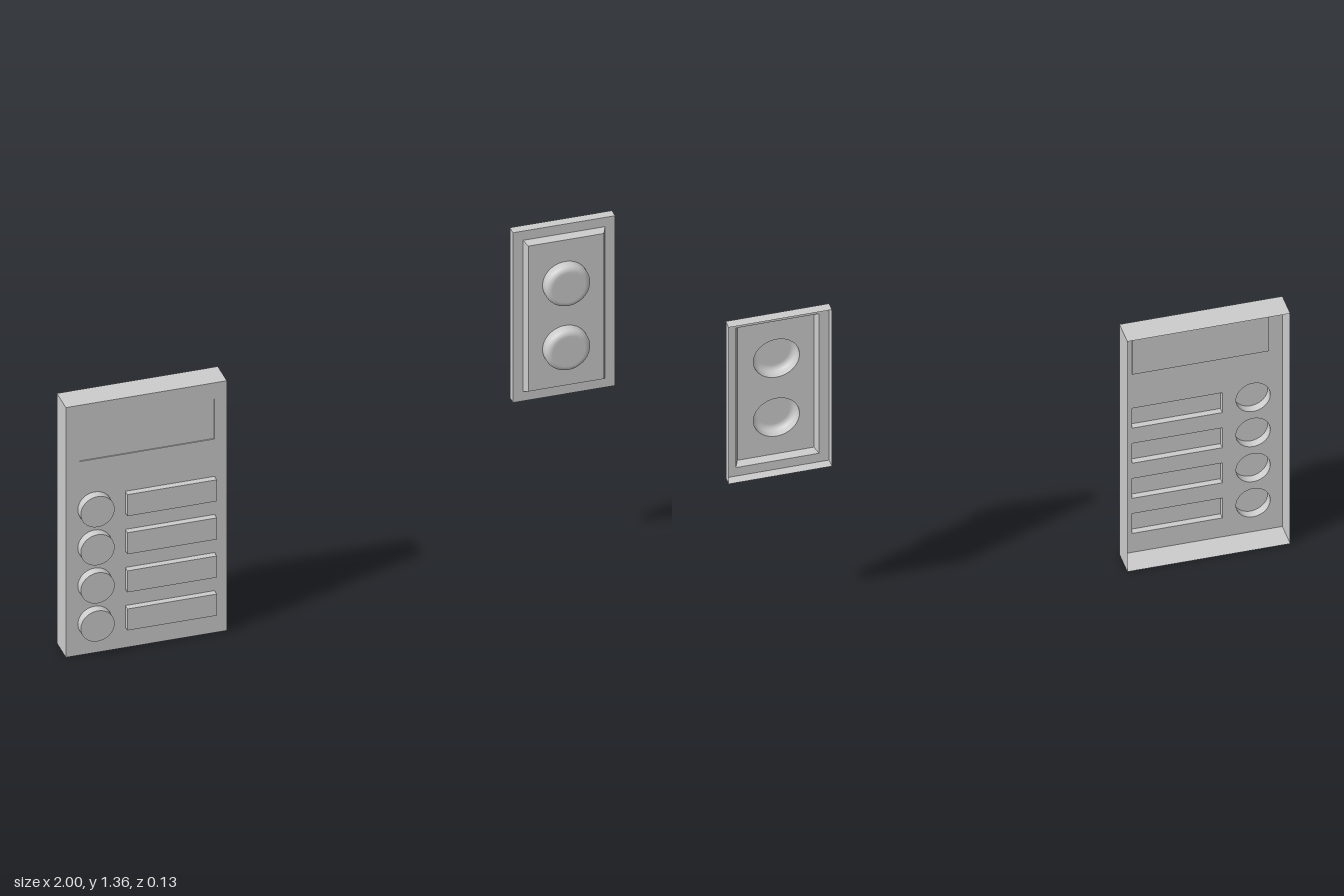
import * as THREE from 'three';
import { mergeGeometries } from 'three/addons/utils/BufferGeometryUtils.js';

const material = new THREE.MeshStandardMaterial({ color: 0xcccccc, side: THREE.DoubleSide });

function part(name, geometry, parent) {
  const mesh = new THREE.Mesh(geometry, material);
  mesh.name = name;
  parent.add(mesh);
  return mesh;
}

// Rectangles are { x, y, w, h } about their centre; corners run counter-clockwise.
const corners = ({ x, y, w, h }, inset = 0) =>
  [[-1, -1], [1, -1], [1, 1], [-1, 1]].map(([sx, sy]) =>
    new THREE.Vector2(x + sx * (w / 2 - inset), y + sy * (h / 2 - inset)));

const circlePath = (x, y, r) => new THREE.Path().absarc(x, y, r, 0, Math.PI * 2, true);

// Thin pressed tray, open at the back: four walls from z0 to z1 and a front with holes.
function tray(rect, z0, z1, holes = [], inset = 0) {
  const back = corners(rect), front = corners(rect, inset);
  const pos = [];
  for (let i = 0; i < 4; i++) {
    const j = (i + 1) % 4;
    const a = [back[i].x, back[i].y, z0], b = [back[j].x, back[j].y, z0];
    const c = [front[j].x, front[j].y, z1], d = [front[i].x, front[i].y, z1];
    pos.push(...a, ...b, ...c, ...a, ...c, ...d);
  }
  const walls = new THREE.BufferGeometry();
  walls.setAttribute('position', new THREE.Float32BufferAttribute(pos, 3));
  walls.computeVertexNormals();
  const shape = new THREE.Shape(front);
  shape.holes = holes;
  const face = new THREE.ShapeGeometry(shape, 24).toNonIndexed();
  face.translate(0, 0, z1);
  face.deleteAttribute('uv');
  return mergeGeometries([walls, face]);
}

// Hollow round button with a sharp rim
function flatButton(r, depth) {
  const side = new THREE.CylinderGeometry(r, r, depth, 48, 1, true).rotateX(Math.PI / 2).translate(0, 0, depth / 2);
  const cap = new THREE.CircleGeometry(r, 48).translate(0, 0, depth);
  return mergeGeometries([side, cap]);
}

// Hollow round button with a rounded rim
function softButton(r, depth, round) {
  const profile = [new THREE.Vector2(r, 0)];
  for (let i = 0; i <= 8; i++) {
    const a = (i / 8) * Math.PI / 2;
    profile.push(new THREE.Vector2(r - round + round * Math.cos(a), depth - round + round * Math.sin(a)));
  }
  profile.push(new THREE.Vector2((r - round) * 0.9, depth), new THREE.Vector2(0, depth));
  return new THREE.LatheGeometry(profile, 48).rotateX(Math.PI / 2);
}

function entryPanel() {
  const group = new THREE.Group();
  group.name = 'entryPanel';
  const front = 0.034;
  const body = { x: -0.71, y: 0.5, w: 0.58, h: 1 };
  const display = { x: -0.708, y: 0.855, w: 0.486, h: 0.16 };
  const holes = [new THREE.Path(corners(display))];
  part('displayWindow', tray(display, front, front - 0.004), group);

  // Four rows: a round button beside a raised name plate
  for (let i = 0; i < 4; i++) {
    const y = 0.125 + i * 0.1525;
    const plate = { x: -0.625, y, w: 0.322, h: 0.086 };
    holes.push(new THREE.Path(corners(plate)), circlePath(-0.896, y, 0.061));
    part('namePlate', tray(plate, front, 0.058), group);
    part('callButton', flatButton(0.061, 0.033), group).position.set(-0.896, y, front);
  }
  part('entryPanelBody', tray(body, -0.066, front, holes), group);
  return group;
}

function doorbell() {
  const group = new THREE.Group();
  group.name = 'doorbell';
  const base = { x: 0.816, y: 1.02, w: 0.368, h: 0.68 };
  const raised = { x: 0.816, y: 1.02, w: 0.296, h: 0.606 };
  const step = -0.03, front = -0.007;
  part('doorbellFrame', tray(base, -0.066, step, [new THREE.Path(corners(raised))]), group);

  const holes = [];
  for (const y of [0.887, 1.143]) {
    holes.push(circlePath(0.813, y, 0.082));
    part('bellButton', softButton(0.082, 0.041, 0.022), group).position.set(0.813, y, front);
  }
  part('bevelledPlate', tray(raised, step, front, holes, 0.012), group);
  return group;
}

export function createModel() {
  const model = new THREE.Group();
  model.name = 'doorbellPanels';
  model.add(entryPanel(), doorbell());
  return model;
}
